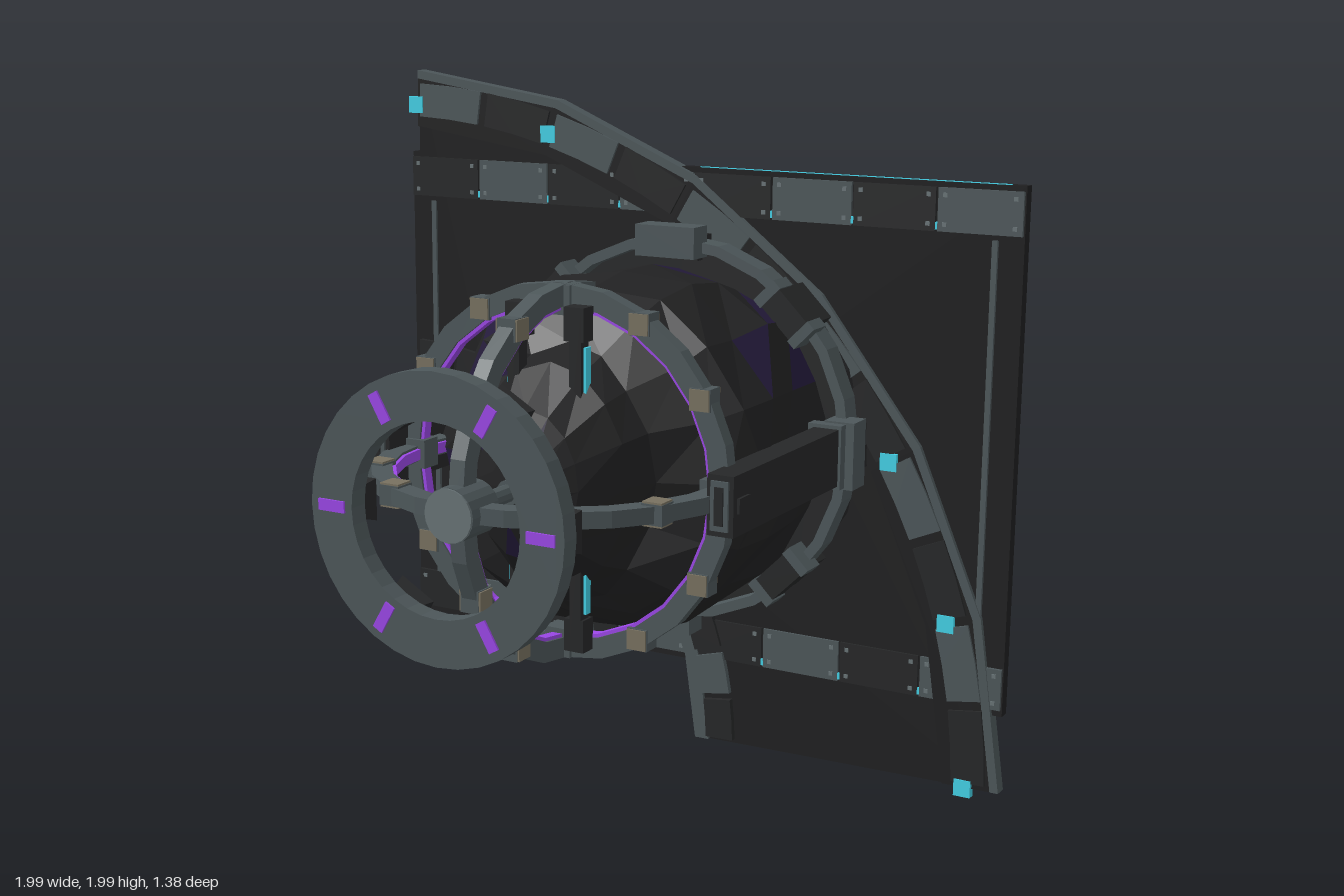
import * as THREE from 'three';

const material = (name, color) => {
  const m = new THREE.MeshStandardMaterial({ color, flatShading: true });
  m.name = name;
  return m;
};
const DEG = Math.PI / 180;

export function createModel() {
  const model = new THREE.Group();
  model.name = 'orbInCage';
  const dark = material('dark panel', 0x1f1f20);
  const block = material('charcoal block', 0x262728);
  const grey = material('slate metal', 0x4d575a);
  const light = material('light metal', 0x687376);
  const teal = material('teal light', 0x44d4ea);
  const purple = material('purple light', 0xa04aee);
  const deep = material('deep purple rock', 0x231a3a);
  const rock = material('black rock', 0x222223);
  const beige = material('beige node', 0x787160);

  const add = (name, geo, mat, x = 0, y = 0, z = 0, parent = model) => {
    const mesh = new THREE.Mesh(geo, mat);
    mesh.name = name;
    mesh.position.set(x, y, z);
    parent.add(mesh);
    return mesh;
  };
  const box = (name, w, h, d, mat, x, y, z, parent) =>
    add(name, new THREE.BoxGeometry(w, h, d), mat, x, y, z, parent);

  // Flat ring sector (or full ring) in the xy plane, from z0 to z1
  const sector = (r0, r1, a0, a1, steps, z0, z1) => {
    const arc = (r) => Array.from({ length: steps + 1 }, (_, i) => {
      const a = (a0 + (a1 - a0) * i / steps) * DEG;
      return new THREE.Vector2(r * Math.cos(a), r * Math.sin(a));
    });
    let shape;
    if (a1 - a0 >= 360) {
      shape = new THREE.Shape(arc(r1).slice(0, -1));
      shape.holes.push(new THREE.Path(arc(r0).slice(0, -1).reverse()));
    } else {
      shape = new THREE.Shape([...arc(r1), ...arc(r0).reverse()]);
    }
    return new THREE.ExtrudeGeometry(shape, { depth: z1 - z0, bevelEnabled: false }).translate(0, 0, z0);
  };

  // Rectangular back plate with segmented rails
  box('backPlate', 1.99, 1.49, 0.035, dark, 0, 1.005, -0.6725);
  box('topLightStrip', 0.94, 0.002, 0.008, teal, 0.48, 1.751, -0.665);
  for (const y of [1.675, 0.34]) {
    for (let i = 0; i < 8; i++) {
      const x = -0.87 + i * 0.2486;
      box('railSegment', 0.242, 0.12, 0.02, i % 2 ? grey : block, x, y, -0.655);
      for (const sx of [-0.1, 0.1]) for (const sy of [-0.04, 0.04])
        box('railBolt', 0.012, 0.012, 0.004, light, x + sx, y + sy, -0.644);
      if (i) box('railLight', 0.008, 0.02, 0.014, teal, x - 0.124, y - 0.045, -0.652);
    }
  }
  for (const x of [-0.915, 0.915]) box('sideRod', 0.016, 1.2, 0.012, grey, x, 1.0, -0.651);

  // Quarter-circle track with segmented rims, centred on the lower left corner
  const track = new THREE.Group();
  track.name = 'curvedTrack';
  track.position.set(-1, 0, 0);
  model.add(track);
  add('trackPanel', sector(1.04, 1.99, 1, 89, 6, -0.688, -0.652), dark, 0, 0, 0, track);
  add('outerRimBed', sector(1.83, 1.98, 1, 89, 6, -0.683, -0.643), dark, 0, 0, 0, track);
  add('outerRimEdge', sector(1.975, 2.0, 1, 89, 6, -0.683, -0.641), grey, 0, 0, 0, track);
  add('innerRimEdge', sector(1.03, 1.075, 1, 89, 6, -0.683, -0.641), grey, 0, 0, 0, track);
  for (let i = 0; i < 12; i++) {
    const a = 89 - i * 7.33;
    const mat = i % 2 ? block : grey;
    add('outerRimBlock', sector(1.86, 1.96, a - 6.9, a - 0.4, 2, -0.655, -0.635), mat, 0, 0, 0, track);
    add('innerRimBlock', sector(1.07, 1.16, a - 6.8, a - 0.5, 2, -0.655, -0.635),
      i === 2 || i === 10 ? grey : block, 0, 0, 0, track);
  }
  for (const i of [0, 1, 2, 5, 6]) {
    const a = (1 + i * 14.67) * DEG;
    box('trackLight', 0.05, 0.05, 0.024, teal, 1.895 * Math.cos(a), Math.max(0.026, 1.895 * Math.sin(a)), -0.643, track);
  }

  // Everything below is arranged around the orb axis
  const core = new THREE.Group();
  core.name = 'orbAssembly';
  core.position.set(0, 1, 0);
  model.add(core);

  // Faceted rock: a lathe with displaced vertices, a taller dome and a few purple facets
  const profile = [[0.40, -0.64], [0.47, -0.57], [0.495, -0.42], [0.5, -0.25], [0.495, -0.09], [0.43, 0.0],
    [0.28, 0.06], [0.245, 0.15], [0.16, 0.26], [0.08, 0.31], [0.001, 0.325]].map(([r, y]) => new THREE.Vector2(r, y));
  let rockGeo = new THREE.LatheGeometry(profile, 16).rotateX(Math.PI / 2);
  const p = rockGeo.attributes.position;
  for (let i = 0; i < p.count; i++) {
    const x = p.getX(i), y = p.getY(i), z = p.getZ(i);
    const s = 1 + 0.025 * Math.sin(17 * x + 9 * z) + 0.025 * Math.sin(19 * y - 13 * z + 1);
    const tall = z > 0.03 ? 1.25 : 1;
    p.setXYZ(i, x * s, y * s * tall, z + 0.02 * Math.sin(23 * x + 15 * y) * Math.min(1, Math.hypot(x, y) * 3));
  }
  rockGeo = rockGeo.toNonIndexed();
  rockGeo.computeVertexNormals();
  let seed = 7;
  const random = () => (seed = (seed * 16807) % 2147483647) / 2147483647;
  for (let i = 0; i < rockGeo.attributes.position.count; i += 3) rockGeo.addGroup(i, 3, random() < 0.05 ? 1 : 0);
  add('rockOrb', rockGeo, [rock, deep], 0, 0, 0, core);
  const shard = box('glowingShard', 0.02, 0.05, 0.03, purple, 0.06, 0.13, 0.255, core);
  shard.rotation.z = 0.5;

  // Mounting rings and clamps against the plate
  add('baseRing', sector(0.43, 0.55, 0, 360, 16, -0.655, -0.58), block, 0, 0, 0, core);
  add('mountRing', sector(0.535, 0.565, 0, 360, 24, -0.59, -0.52), grey, 0, 0, 0, core);
  for (let i = 0; i < 8; i++) {
    const clamp = new THREE.Group();
    clamp.name = 'mountClamp';
    clamp.rotation.z = i * 45 * DEG;
    core.add(clamp);
    if (i % 2) {
      box('clampBlock', 0.075, 0.17, 0.075, block, 0.535, 0, -0.51, clamp);
      for (const s of [-1, 1]) box('clampEdge', 0.085, 0.03, 0.08, grey, 0.535, s * 0.075, -0.51, clamp);
    } else {
      box('clampBlock', 0.09, 0.19, 0.08, grey, 0.555, 0, -0.51, clamp);
    }
    box('clampFoot', 0.07, 0.13, 0.1, block, 0.53, 0, -0.6, clamp);
  }

  // Cage: one ring facing forward, two arches crossing in front, nodes and joints
  const cage = new THREE.Group();
  cage.name = 'cage';
  cage.position.z = 0.08;
  core.add(cage);
  const hoop = (name, a0, a1, nodes, axis, angle) => {
    const g = new THREE.Group();
    g.name = name;
    g.rotation[axis] = angle;
    cage.add(g);
    const steps = (a1 - a0) / 15;
    add('hoopBand', sector(0.458, 0.515, a0, a1, steps, -0.022, 0.022), grey, 0, 0, 0, g);
    add('hoopLight', sector(0.448, 0.458, a0, a1, steps, -0.015, 0.015), purple, 0, 0, 0, g);
    for (const a of nodes) {
      const x = 0.49 * Math.cos(a * DEG), y = 0.49 * Math.sin(a * DEG);
      box('hoopNode', 0.06, 0.06, 0.054, grey, x, y, 0, g);
      for (const s of [-1, 1]) box('nodePlate', 0.056, 0.056, 0.006, beige, x, y, s * 0.029, g);
    }
  };
  hoop('frontHoop', 0, 360, [30, 60, 120, 150, 210, 240, 300, 330], 'z', 0);
  hoop('verticalArch', -105, 105, [-60, -30, 30, 60], 'y', -Math.PI / 2);
  hoop('horizontalArch', -15, 195, [30, 60, 120, 150], 'x', Math.PI / 2);
  for (let i = 0; i < 4; i++) {
    const a = i * 90 * DEG;
    box('hoopJoint', 0.08, 0.08, 0.065, grey, 0.47 * Math.cos(a), 0.47 * Math.sin(a), 0, cage);
  }

  // Upright posts with light strips
  for (const sx of [-1, 1]) for (const sy of [-1, 1]) {
    box('post', 0.035, 0.36, 0.04, block, sx * 0.095, sy * 0.28, 0.155, core);
    box('postLight', 0.008, 0.16, 0.025, teal, sx * 0.117, sy * 0.28, 0.15, core);
    box('postCap', 0.06, 0.09, 0.05, block, sx * 0.09, sy * 0.42, 0.15, core);
  }

  // Side arms reaching forward from the mount
  for (const s of [-1, 1]) {
    box('arm', 0.075, 0.16, 0.66, block, s * 0.53, 0, -0.14, core);
    box('armLight', 0.04, 0.006, 0.62, teal, s * 0.53, -0.083, -0.15, core);
    box('armEndPlate', 0.05, 0.13, 0.01, grey, s * 0.53, 0, 0.192, core);
    box('armEndInset', 0.025, 0.1, 0.006, block, s * 0.53, 0, 0.198, core);
    box('armBracket', 0.1, 0.18, 0.04, grey, s * 0.525, 0, -0.46, core);
    box('armClip', 0.09, 0.04, 0.06, block, s * 0.53, 0, 0.14, core);
  }

  // Axle and hub
  add('axle', new THREE.CylinderGeometry(0.024, 0.024, 0.32, 10).rotateX(Math.PI / 2), grey, 0, 0, 0.36, core);
  add('axleCollar', new THREE.CylinderGeometry(0.034, 0.034, 0.03, 10).rotateX(Math.PI / 2), grey, 0, 0, 0.34, core);
  add('hub', new THREE.CylinderGeometry(0.072, 0.072, 0.12, 20).rotateX(Math.PI / 2), grey, 0, 0, 0.56, core);
  add('hubFace', new THREE.CylinderGeometry(0.07, 0.07, 0.006, 20).rotateX(Math.PI / 2), light, 0, 0, 0.622, core);

  // Front wheel with light inserts and rear knobs
  add('wheel', sector(0.25, 0.375, 0, 360, 36, 0.63, 0.685), grey, 0, 0, 0, core);
  for (let i = 0; i < 6; i++) {
    const spoke = new THREE.Group();
    spoke.name = 'wheelSpoke';
    spoke.rotation.z = i * 60 * DEG;
    core.add(spoke);
    box('wheelLight', 0.08, 0.03, 0.009, purple, 0.31, 0, 0.6865, spoke);
    const knob = new THREE.CylinderGeometry(0.058, 0.078, 0.05, 4).rotateY(Math.PI / 4).rotateX(Math.PI / 2);
    add('wheelKnob', knob, block, 0.305, 0, 0.605, spoke);
  }
  return model;
}
